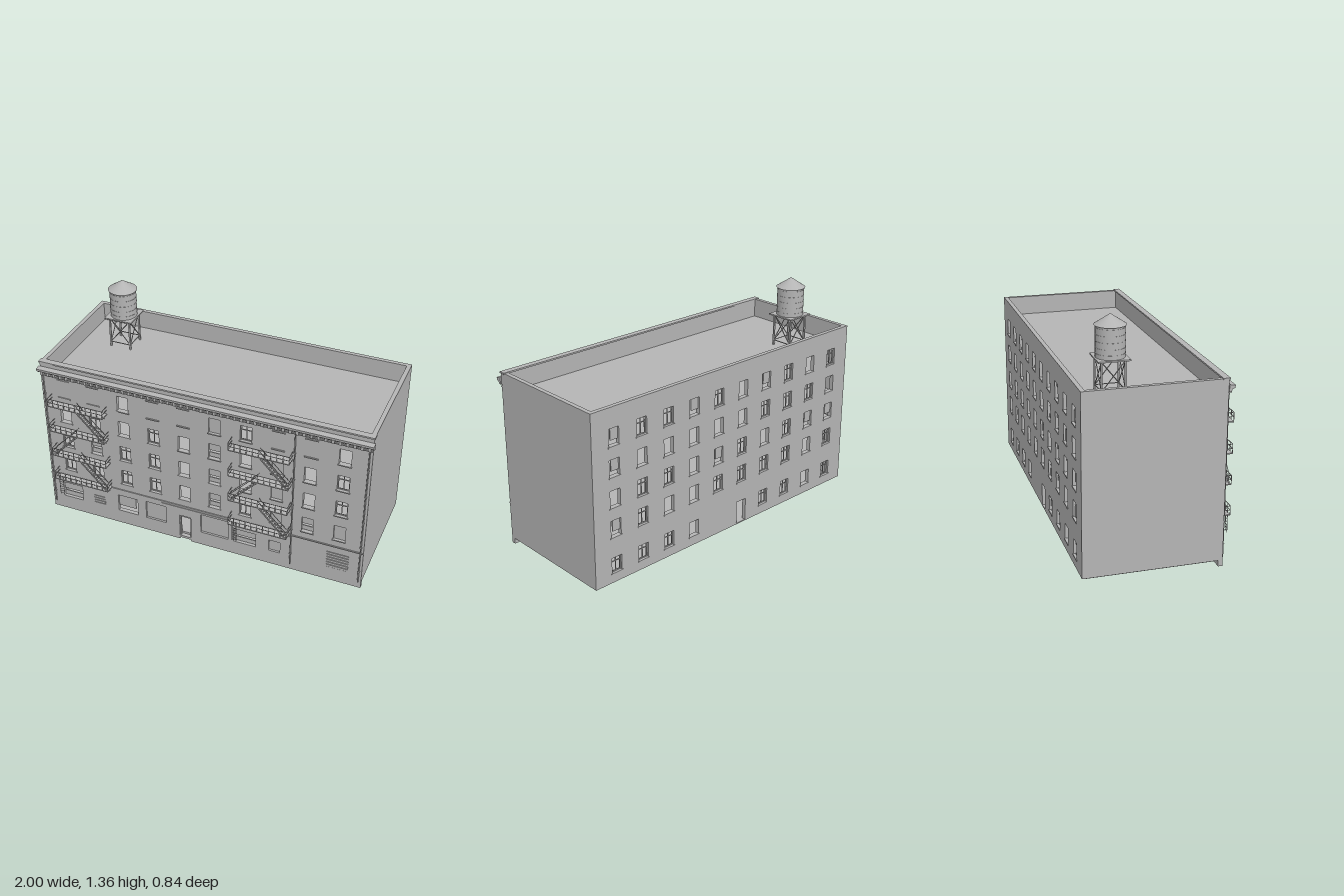
import * as THREE from 'three';

const wallGrey = new THREE.MeshStandardMaterial({ color: 0xb4b4b4, side: THREE.DoubleSide });
wallGrey.name = 'wallGrey';

const COLS = Array.from({ length: 10 }, (_, i) => -0.85 + i * 0.1884);
const ROWS = [0.888, 0.713, 0.535, 0.36, 0.14];
const FRONT = 0.36, BACK = -0.415, T = 0.025;
// Window kinds: . bricked up, o open, f framed, b half boarded, p panel, L open only along two edges
const FRONT_KINDS = ['..o..pf..o', 'ofofobopof', 'fbffobopof', 'ffffobfpbp'];
const BACK_KINDS = ['fofLofLffL', 'offfoooooL', 'LLfofLoffo', 'foffffoofL', 'foff..offf'];

function add(parent, name, geo) {
  const m = new THREE.Mesh(geo, wallGrey);
  m.name = name;
  parent.add(m);
  return m;
}
// Box given by its two extreme corners
function box(parent, name, x0, x1, y0, y1, z0, z1) {
  const m = add(parent, name, new THREE.BoxGeometry(x1 - x0, y1 - y0, z1 - z0));
  m.position.set((x0 + x1) / 2, (y0 + y1) / 2, (z0 + z1) / 2);
  return m;
}
// Straight square bar between two points
function bar(parent, name, a, b, t = 0.005) {
  const p = new THREE.Vector3(...a), q = new THREE.Vector3(...b);
  const d = q.clone().sub(p);
  const m = add(parent, name, new THREE.BoxGeometry(t, d.length(), t));
  m.position.copy(p).add(q).multiplyScalar(0.5);
  m.quaternion.setFromUnitVectors(new THREE.Vector3(0, 1, 0), d.normalize());
  return m;
}
function group(parent, name) {
  const g = new THREE.Group();
  g.name = name;
  parent.add(g);
  return g;
}
function polygon(pts, Type = THREE.Shape) {
  return new Type(pts.map(([x, y]) => new THREE.Vector2(x, y)));
}
const rect = (x0, x1, y0, y1) => [[x0, y0], [x1, y0], [x1, y1], [x0, y1]];

// Extruded wall with openings
function wall(parent, name, outline, holes, z) {
  const s = polygon(outline);
  holes.forEach(h => s.holes.push(polygon(rect(...h), THREE.Path)));
  add(parent, name, new THREE.ExtrudeGeometry(s, { depth: T, bevelEnabled: false })).position.z = z;
}

// Filling of one window opening, centred on depth z
function windowFill(parent, kind, [x0, x1, y0, y1], z) {
  const g = group(parent, 'window'), xm = (x0 + x1) / 2, h = y1 - y0, d = 0.003, w = 0.005;
  if (kind === 'f') {
    box(g, 'frameLeft', x0, x0 + w, y0, y1, z - d, z + d);
    box(g, 'frameRight', x1 - w, x1, y0, y1, z - d, z + d);
    box(g, 'frameTop', x0, x1, y1 - w, y1, z - d, z + d);
    box(g, 'frameBottom', x0, x1, y0, y0 + w, z - d, z + d);
    box(g, 'mullion', xm - 0.002, xm + 0.002, y0, y1, z - d, z + d);
    box(g, 'transom', x0, x1, y0 + h * 0.66, y0 + h * 0.7, z - d, z + d);
    const shard = polygon([[x0, y1], [x0, y1 - h * 0.3], [x0 + 0.012, y1 - h * 0.12], [xm, y1]]);
    add(g, 'brokenPane', new THREE.ShapeGeometry(shard)).position.z = z;
  } else if (kind === 'b') {
    box(g, 'upperBoard', x0, x1, y0 + h * 0.5, y1 - 0.006, z - d, z + d);
    box(g, 'lowerBoard', x0, x1, y0 + 0.006, y0 + h * 0.36, z - d, z + d);
  } else if (kind === 'p') {
    box(g, 'panel', x0, x1, y0, y1, z - d, z + d);
  } else if (kind === 'L') {
    box(g, 'partialBoard', x0, x1 - 0.018, y0 + h * 0.28, y1, z - d, z + d);
  }
}

// One face of windows: returns its openings and adds fillings, sills and lintels
function windowFace(parent, kinds, out, depth) {
  const holes = [];
  kinds.forEach((row, r) => [...row].forEach((k, c) => {
    const x = COLS[c], h = r === 4 ? 0.046 : 0.05, y = ROWS[r];
    const o = [x - 0.034, x + 0.034, y - h, y + h];
    const z0 = Math.min(out, out + depth), z1 = Math.max(out, out + depth);
    if (r < 4 || k !== '.') box(parent, 'sill', x - 0.04, x + 0.04, o[2] - 0.007, o[2], z0, z1);
    if (depth > 0 && k === '.') box(parent, 'lintel', x - 0.038, x + 0.038, o[3] + 0.014, o[3] + 0.019, z0, z1);
    if (k === '.') return;
    holes.push(o);
    windowFill(parent, k, o, out - Math.sign(depth) * 0.014);
  }));
  return holes;
}

// Balconies, railings, stairs and ladder hung on the front
function fireEscape(parent, x0) {
  const g = group(parent, 'fireEscape'), x1 = x0 + 0.355, zf = 0.418;
  const floors = [0.265, 0.442, 0.618, 0.795];
  floors.forEach((y, i) => {
    box(g, 'balconyFloor', x0, x1, y - 0.003, y + 0.003, FRONT, zf);
    [0.028, 0.052].forEach(r => {
      bar(g, 'frontRail', [x0, y + r, zf], [x1, y + r, zf], 0.003);
      [x0, x1].forEach(x => bar(g, 'sideRail', [x, y + r, FRONT], [x, y + r, zf], 0.003));
    });
    for (let k = 0; k <= 10; k++) {
      const x = x0 + k * (x1 - x0) / 10;
      bar(g, 'railPost', [x, y, zf], [x, y + 0.052, zf], 0.003);
    }
    [0.02, 0.17, 0.335].forEach(dx => {
      bar(g, 'bracket', [x0 + dx, y, zf - 0.01], [x0 + dx, y - 0.03, FRONT], 0.005);
      bar(g, 'bracketFoot', [x0 + dx, y, FRONT + 0.003], [x0 + dx, y - 0.035, FRONT + 0.003], 0.006);
    });
    // Stair up to the next floor, alternating direction
    if (i === 3) return;
    const a = i === 1 ? x0 + 0.01 : x1 - 0.01, b = x0 + 0.175, y2 = floors[i + 1];
    [0.385, 0.41].forEach(z => {
      bar(g, 'stringer', [a, y, z], [b, y2, z], 0.006);
      bar(g, 'handrail', [a, y + 0.045, z], [b, y2 + 0.045, z], 0.003);
    });
    for (let k = 1; k < 9; k++) {
      const x = a + (b - a) * k / 9, sy = y + (y2 - y) * k / 9;
      box(g, 'step', x - 0.008, x + 0.008, sy - 0.001, sy + 0.001, 0.385, 0.41);
    }
  });
  // Drop ladder
  [0.025, 0.05].forEach(dx => bar(g, 'ladderRail', [x0 + dx, 0.15, 0.414], [x0 + dx, 0.29, 0.414], 0.003));
  for (let y = 0.16; y < 0.26; y += 0.017) bar(g, 'ladderRung', [x0 + 0.025, y, 0.414], [x0 + 0.05, y, 0.414], 0.002);
}

// Rooftop tank on a braced stand
function waterTank(parent) {
  const g = group(parent, 'waterTank'), roof = 0.94, deck = 1.13, s = 0.064;
  g.position.set(-0.72, 0, -0.187);
  add(g, 'tankBarrel', new THREE.CylinderGeometry(0.079, 0.079, 0.17, 32)).position.y = 1.222;
  add(g, 'tankRoof', new THREE.ConeGeometry(0.086, 0.057, 32)).position.y = 1.336;
  [1.16, 1.19, 1.225, 1.26, 1.295].forEach(y =>
    add(g, 'hoop', new THREE.CylinderGeometry(0.0805, 0.0805, 0.003, 32)).position.y = y);
  box(g, 'deck', -0.087, 0.087, deck, deck + 0.008, -0.087, 0.087);
  for (let i = 0; i < 4; i++) {
    const side = group(g, 'standSide');
    side.rotation.y = i * Math.PI / 2;
    bar(side, 'leg', [s, roof, s], [s, deck, s], 0.01);
    bar(side, 'brace', [-s, roof + 0.03, s], [s, deck, s], 0.004);
    bar(side, 'brace', [s, roof + 0.03, s], [-s, deck, s], 0.004);
    bar(side, 'tie', [-s, roof + 0.03, s], [s, roof + 0.03, s], 0.004);
  }
}

export function createModel() {
  const model = new THREE.Group();
  model.name = 'apartmentBuilding';
  const X = 0.992, TOP = 1.055, BASE = 0.035, dx0 = -0.135, dx1 = -0.062;

  // Front wall, with shop openings and a door notch
  const front = group(model, 'frontFace');
  const shops = [[-0.915, -0.785, 0.095, 0.2, 'b'], [-0.705, -0.63, 0.095, 0.165, 's'], [-0.54, -0.41, 0.095, 0.212, 'L'],
    [-0.355, -0.222, 0.095, 0.218, 'p'], [0.002, 0.175, 0.095, 0.228, 'p'], [0.21, 0.35, 0.095, 0.19, 'b'],
    [0.43, 0.5, 0.098, 0.175, 'p'], [0.78, 0.91, 0.095, 0.21, 's']];
  const holes = windowFace(front, FRONT_KINDS, FRONT, 0.006);
  shops.forEach(([x0, x1, y0, y1, k]) => {
    holes.push([x0, x1, y0, y1]);
    windowFill(front, k, [x0, x1, y0, y1], FRONT - 0.015);
    const n = Math.round((y1 - y0) / 0.02);
    if (k === 's') for (let i = 0; i < n; i++) {
      const y = y0 + (i + 0.5) * (y1 - y0) / n;
      box(front, 'slat', x0, x1, y - 0.007, y + 0.007, FRONT - 0.008, FRONT + 0.002);
    }
  });
  wall(front, 'frontWall', [[-X, 0], [dx0, 0], [dx0, 0.182], [dx1, 0.182], [dx1, 0], [X, 0], [X, TOP], [-X, TOP]], holes, FRONT - T);
  box(front, 'doorStep', dx0, dx1, 0.012, BASE - 0.008, FRONT - T, FRONT);
  [[dx0, dx0 + 0.007], [dx1 - 0.007, dx1]].forEach(([a, b]) => box(front, 'doorJamb', a, b, 0.02, 0.182, 0.34, 0.352));
  box(front, 'doorHead', dx0, dx1, 0.168, 0.182, 0.34, 0.352);
  box(front, 'stringCourse', -X, X, 0.255, 0.262, FRONT, FRONT + 0.006);
  box(front, 'shopFascia', -0.25, 0.56, 0.241, 0.245, FRONT, FRONT + 0.004);
  [-0.975, 0.565, 0.975].forEach(x => {
    add(front, 'drainPipe', new THREE.CylinderGeometry(0.004, 0.004, 0.93, 8)).position.set(x, 0.51, FRONT + 0.006);
    for (let y = 0.12; y < 0.95; y += 0.18) box(front, 'pipeClamp', x - 0.006, x + 0.006, y, y + 0.006, FRONT, FRONT + 0.011);
  });

  // Back wall
  const back = group(model, 'backFace');
  const backHoles = windowFace(back, BACK_KINDS, BACK, -0.004);
  backHoles.push([dx0, dx1, 0.042, 0.182]);
  wall(back, 'backWall', rect(-X, X, BASE, TOP), backHoles, BACK);

  // Side walls, floors, roof and recessed footing
  [[-X, -X + T], [X - T, X]].forEach(([a, b]) => box(model, 'sideWall', a, b, BASE, TOP, BACK + T, FRONT - T));
  [0.265, 0.442, 0.618, 0.795].forEach(y => box(model, 'innerFloor', -X + T, X - T, y - 0.004, y, BACK + T, FRONT - T));
  box(model, 'groundSlab', -X + T, X - T, BASE, BASE + 0.005, BACK + T, FRONT - T);
  box(model, 'roof', -X + T, X - T, 0.93, 0.94, BACK + T, FRONT - T);
  box(model, 'footing', -X + 0.025, X - 0.025, 0.02, BASE, -0.39, 0.33);

  // Front cornice, with brackets below
  const cornice = group(model, 'cornice');
  const profile = polygon([[0.36, 0.985], [0.372, 0.988], [0.377, 1.0], [0.39, 1.004], [0.393, 1.02], [0.36, 1.024]]);
  const moulding = new THREE.ExtrudeGeometry(profile, { depth: 2, bevelEnabled: false });
  moulding.rotateY(-Math.PI / 2).translate(1, 0, 0);
  add(cornice, 'moulding', moulding);
  box(cornice, 'cap', -X - 0.004, X + 0.004, 1.05, 1.059, 0.328, 0.366);
  box(cornice, 'frieze', -X, X, 0.968, 0.974, FRONT, FRONT + 0.007);
  for (let i = 0; i < 50; i++) {
    const x = -0.975 + i * 1.95 / 49;
    box(cornice, 'dentil', x - 0.008, x + 0.008, 0.976, 1.003, FRONT, FRONT + 0.02);
  }

  fireEscape(model, -0.932);
  fireEscape(model, 0.198);
  waterTank(model);
  return model;
}
